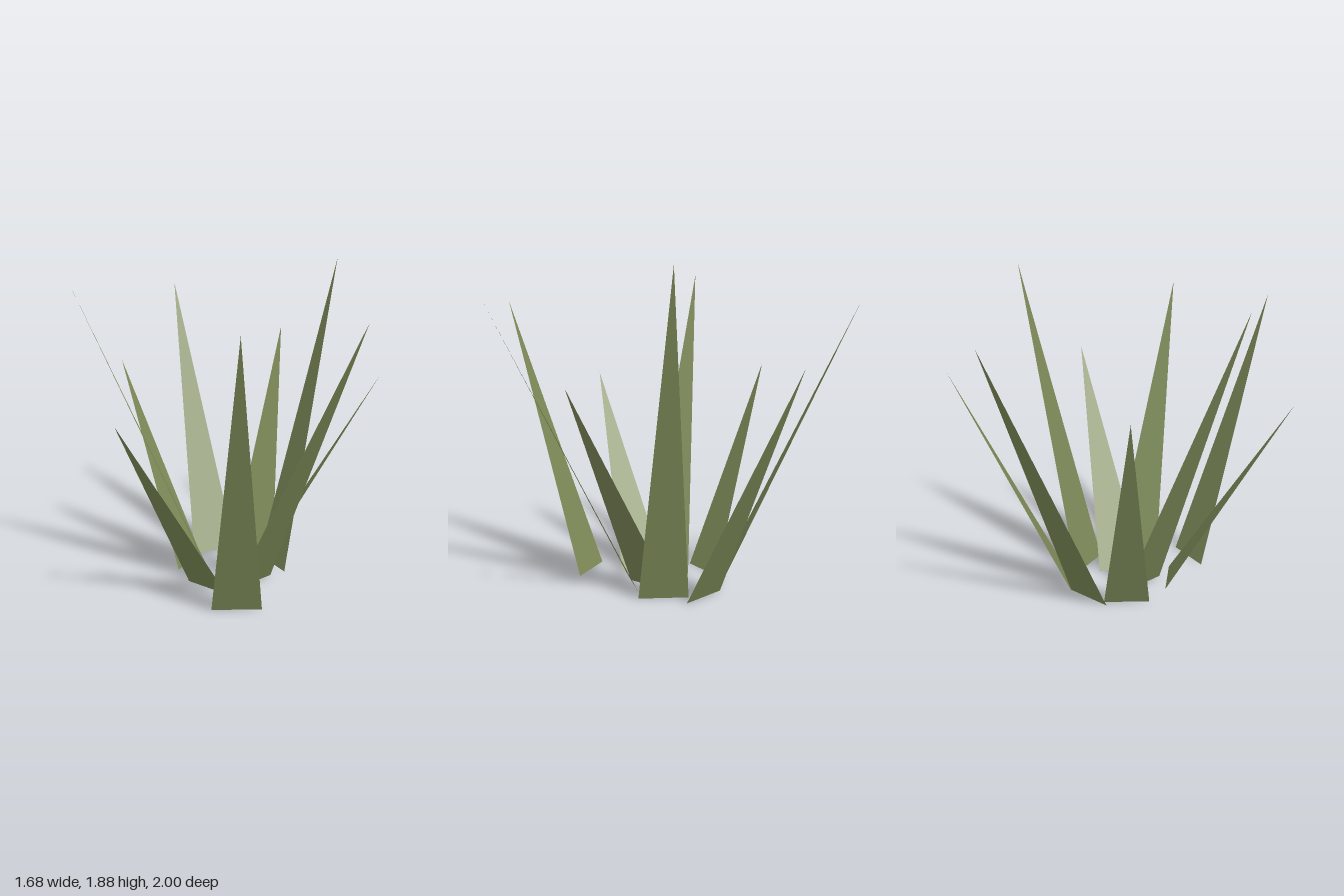
import * as THREE from 'three';

// Each blade: base corner A (x, z), base corner B (x, z), tip (x, y, z)
const BLADES = [
  [[-0.04, 0.48], [0.24, 0.43], [0.195, 1.65, 1.0]],
  [[0.055, 0.205], [0.24, -0.01], [0.765, 1.665, 0.62]],
  [[0.115, 0.135], [0.115, -0.15], [0.84, 1.27, -0.005]],
  [[0.32, -0.07], [0.14, -0.295], [0.57, 1.875, -0.475]],
  [[0.22, -0.335], [-0.05, -0.39], [0.19, 1.37, -1.0]],
  [[-0.035, -0.385], [-0.28, -0.25], [-0.54, 1.66, -0.975]],
  [[-0.24, -0.25], [-0.33, 0.0], [-0.725, 1.26, -0.275]],
  [[-0.17, -0.09], [-0.075, 0.175], [-0.84, 1.795, 0.3]],
  [[-0.235, 0.145], [0.015, 0.28], [-0.46, 1.15, 0.82]],
];

// Flat pointed leaf standing on the ground
function bladeGeometry([ax, az], [bx, bz], tip) {
  const geometry = new THREE.BufferGeometry();
  geometry.setAttribute('position',
    new THREE.Float32BufferAttribute([ax, 0, az, bx, 0, bz, ...tip], 3));
  geometry.computeVertexNormals();
  return geometry;
}

export function createModel() {
  const group = new THREE.Group();
  group.name = 'grassTuft';
  const grass = new THREE.MeshStandardMaterial({ color: 0x7d8a58, side: THREE.DoubleSide });
  grass.name = 'grassGreen';

  // Ring of outward leaning blades
  BLADES.forEach(([a, b, tip], i) => {
    const blade = new THREE.Mesh(bladeGeometry(a, b, tip), grass);
    blade.name = `blade${i + 1}`;
    group.add(blade);
  });
  return group;
}
